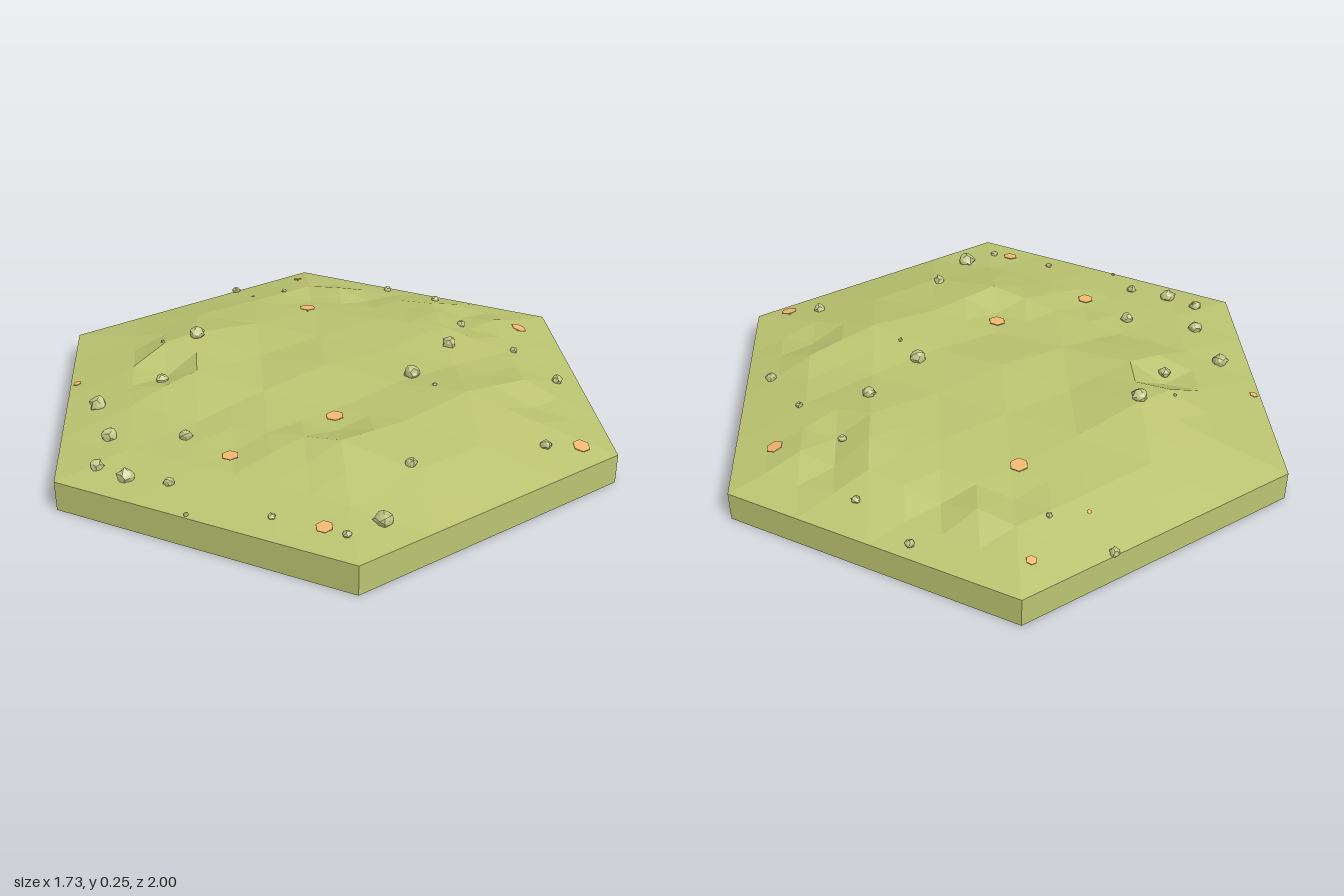
import * as THREE from 'three';

const S = 0.125, N = 8, SLAB = 0.1, W = Math.sqrt(3) / 2, UP = new THREE.Vector3(0, 1, 0);
const material = (color) => new THREE.MeshStandardMaterial({ color, flatShading: true });

// Hill heights on the coarse triangular lattice, one row per column of x (-0.65 .. 0.65)
const HILLS = [
  [0.15, 0.155, 0.14, 0.125],
  [0.16, 0.215, 0.195, 0.145, 0.135],
  [0.155, 0.18, 0.175, 0.175, 0.165, 0.14],
  [0.15, 0.162, 0.18, 0.197, 0.163, 0.2, 0.13],
  [0.15, 0.18, 0.18, 0.183, 0.185, 0.16],
  [0.175, 0.2, 0.173, 0.21, 0.16],
  [0.145, 0.155, 0.165, 0.15],
];
// Small dips and bumps on the fine lattice: "a,b" -> offset
const DETAILS = {
  '-5,1': 0.025, '-5,2': -0.035, '-5,3': 0.006, '-4,1': -0.005, '-4,4': -0.005,
  '1,-6': 0.018, '0,-5': -0.014, '2,-6': -0.014,
  '5,-6': -0.02, '5,-5': -0.02, '4,-5': 0.01, '6,-6': 0.012,
  '5,-1': 0.006, '6,-2': 0.01, '6,-1': -0.02, '0,3': -0.022,
  '-2,5': 0.01, '-3,5': -0.012, '-1,5': -0.01,
};

function coarse(i, j) {
  if (Math.max(Math.abs(i), Math.abs(j), Math.abs(i + j)) > 3) return SLAB;
  return HILLS[i + 3][j - Math.max(-3, -3 - i)];
}

// Height at a fine lattice point; points between coarse ones are averaged
function height(a, b) {
  const da = Math.abs(a % 2), db = Math.abs(b % 2);
  const sb = da && db ? -1 : db;
  const h = (coarse((a + da) / 2, (b + sb) / 2) + coarse((a - da) / 2, (b - sb) / 2)) / 2;
  return h + (DETAILS[`${a},${b}`] ?? 0);
}

// Ground height anywhere on the tile
function ground(x, z) {
  const u = x / (S * W), v = z / S - u / 2;
  const a = Math.floor(u), b = Math.floor(v), p = u - a, q = v - b;
  if (p + q <= 1) {
    const h = height(a, b);
    return h + p * (height(a + 1, b) - h) + q * (height(a, b + 1) - h);
  }
  const h = height(a + 1, b + 1);
  return h + (1 - p) * (height(a, b + 1) - h) + (1 - q) * (height(a + 1, b) - h);
}

// Direction of the slope at a point
function groundNormal(x, z, e = 0.01) {
  const dx = ground(x + e, z) - ground(x - e, z), dz = ground(x, z + e) - ground(x, z - e);
  return new THREE.Vector3(-dx, 2 * e, -dz).normalize();
}

// Hexagon of lattice triangles, taking every step-th point and lowered by drop
function hexSurface(step, drop, faceDown) {
  const pos = [];
  const inside = ([a, b]) => Math.max(Math.abs(a), Math.abs(b), Math.abs(a + b)) <= N;
  const triangle = (...corners) => {
    if (!corners.every(inside)) return;
    if (faceDown) corners.reverse();
    for (const [a, b] of corners) pos.push(a * S * W, height(a, b) - drop, S * (b + a / 2));
  };
  for (let a = -N; a < N; a += step) {
    for (let b = -N; b < N; b += step) {
      triangle([a, b], [a, b + step], [a + step, b]);
      triangle([a + step, b], [a, b + step], [a + step, b + step]);
    }
  }
  const geo = new THREE.BufferGeometry();
  geo.setAttribute('position', new THREE.Float32BufferAttribute(pos, 3));
  geo.computeVertexNormals();
  return geo;
}

// Icosphere pushed in and out into a knobbly stone
function rockGeometry() {
  const geo = new THREE.IcosahedronGeometry(1, 1);
  const pos = geo.attributes.position, p = new THREE.Vector3();
  for (let k = 0; k < pos.count; k++) {
    p.fromBufferAttribute(pos, k);
    p.multiplyScalar(1 + 0.16 * Math.sin(4 * p.x + 1) * Math.cos(5 * p.z) + 0.1 * Math.sin(6 * p.y + 3 * p.x));
    pos.setXYZ(k, p.x, p.y, p.z);
  }
  geo.computeVertexNormals();
  return geo;
}

// Rocks and mushrooms as [x, z, radius]
const ROCKS = [
  [-0.43, -0.23, 0.026], [-0.55, -0.02, 0.02], [-0.76, 0.08, 0.026], [-0.71, 0.29, 0.024],
  [-0.74, 0.45, 0.02], [-0.65, 0.52, 0.026], [-0.52, 0.57, 0.016], [-0.47, 0.34, 0.02],
  [-0.28, -0.83, 0.015], [-0.1, -0.71, 0.009], [0.31, -0.77, 0.014], [0.47, -0.6, 0.014],
  [0.52, -0.33, 0.014], [0.44, -0.13, 0.022], [0.67, -0.13, 0.012], [0.78, 0.06, 0.018],
  [0.28, 0.07, 0.026], [0.34, 0.17, 0.007], [0.2, 0.6, 0.018], [0.64, 0.48, 0.018],
  [0.09, 0.82, 0.028], [-0.02, 0.875, 0.013], [-0.225, 0.77, 0.011], [-0.47, 0.715, 0.007],
  [-0.55, -0.21, 0.006],
];
const MUSHROOMS = [
  [-0.025, -0.5, 0.03], [0.73, -0.33, 0.029], [0.75, 0.48, 0.029], [0, 0.305, 0.03],
  [-0.335, 0.475, 0.028], [-0.08, 0.84, 0.027], [-0.84, -0.1, 0.015], [-0.035, -0.87, 0.017],
  [-0.22, -0.69, 0.008],
];

export function createModel() {
  const model = new THREE.Group();
  const grass = material(0xbac370), rockMat = material(0xc0c484);
  const capMat = material(0xf2b872), stemMat = material(0xe4b070);
  const add = (parent, name, geo, mat, x = 0, y = 0, z = 0) => {
    const mesh = new THREE.Mesh(geo, mat);
    mesh.name = name;
    mesh.position.set(x, y, z);
    parent.add(mesh);
    return mesh;
  };

  // Hexagonal slab with hilly ground on top and a coarser hollow underside
  add(model, 'slabSides', new THREE.CylinderGeometry(1, 1, SLAB, 6, 1, true), grass, 0, SLAB / 2);
  add(model, 'underside', hexSurface(4, SLAB, true), grass);
  add(model, 'terrain', hexSurface(1, 0, false), grass);

  // Knobbly rocks, each turned differently
  const rocks = new THREE.Group();
  rocks.name = 'rocks';
  const rockGeo = rockGeometry();
  ROCKS.forEach(([x, z, r], k) => {
    const rock = add(rocks, 'rock', rockGeo, rockMat, x, ground(x, z) + r * 0.4, z);
    rock.scale.set(r, r * 0.85, r);
    rock.rotation.set(k * 0.3, k * 1.7, 0);
  });

  // Thin six-sided mushroom caps on short stems, standing square to the slope
  const mushrooms = new THREE.Group();
  mushrooms.name = 'mushrooms';
  const capGeo = new THREE.CylinderGeometry(0.97, 1, 0.08, 6);
  const stemGeo = new THREE.CylinderGeometry(0.14, 0.18, 0.6, 6);
  for (const [x, z, r] of MUSHROOMS) {
    const mushroom = new THREE.Group();
    mushroom.name = 'mushroom';
    add(mushroom, 'stem', stemGeo, stemMat, 0, 0.1);
    add(mushroom, 'cap', capGeo, capMat, 0, 0.42);
    mushroom.position.set(x, ground(x, z), z);
    mushroom.quaternion.setFromUnitVectors(UP, groundNormal(x, z));
    mushroom.scale.setScalar(r);
    mushrooms.add(mushroom);
  }
  model.add(rocks, mushrooms);
  return model;
}
